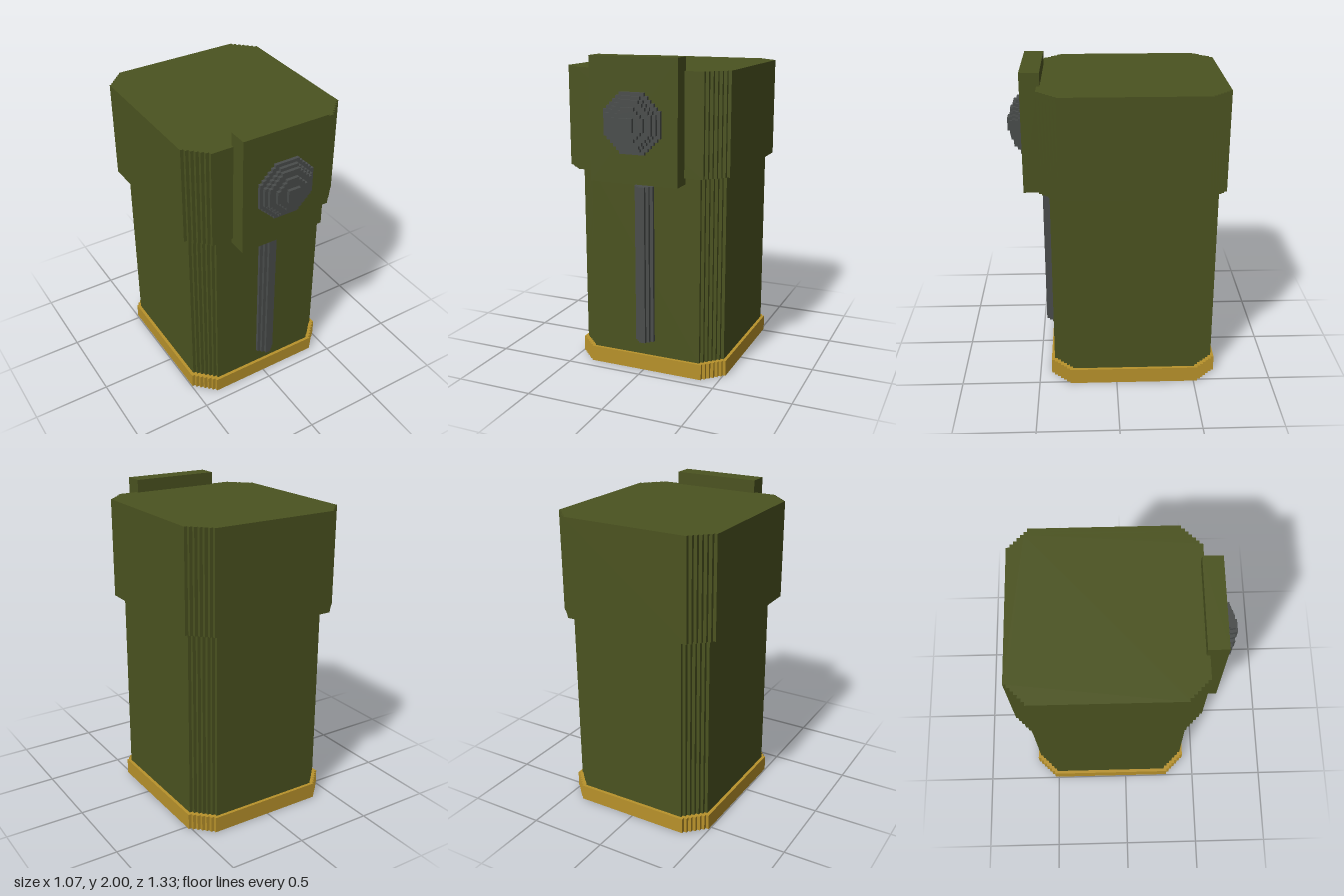
import * as THREE from 'three';

const V = 2 / 99; // size of one block; all numbers below are in blocks

function material(name, color) {
  const m = new THREE.MeshStandardMaterial({ color });
  m.name = name;
  return m;
}

// Rectangle outline whose four corners are cut by a staircase of n single-block steps
function steppedShape(x0, x1, y0, y1, n) {
  const cx = (x0 + x1) / 2, cy = (y0 + y1) / 2;
  const hx = (x1 - x0) / 2, hy = (y1 - y0) / 2;
  const corner = [];
  for (let i = 0; i < n; i++) corner.push([hx - i, hy - n + i], [hx - i - 1, hy - n + i]);
  corner.push([hx - n, hy]);
  const mirrored = [...corner].reverse();
  const points = [
    ...corner,
    ...mirrored.map(([x, y]) => [-x, y]),
    ...corner.map(([x, y]) => [-x, -y]),
    ...mirrored.map(([x, y]) => [x, -y]),
  ];
  return new THREE.Shape(points.map(([x, y]) => new THREE.Vector2((cx + x) * V, (cy + y) * V)));
}

function extrude(shape, depth) {
  return new THREE.ExtrudeGeometry(shape, { depth: depth * V, bevelEnabled: false });
}

export function createModel() {
  const group = new THREE.Group();
  const olive = material('olive green', 0x4b5320);
  const gold = material('gold', 0xb8922b);
  const grey = material('dark grey', 0x4a4d4c);

  function add(name, geometry, mat, parent = group) {
    const mesh = new THREE.Mesh(geometry, mat);
    mesh.name = name;
    parent.add(mesh);
    return mesh;
  }

  // Upright block with stepped vertical corners
  function column(name, x0, x1, z0, z1, y0, y1, steps, mat) {
    const g = extrude(steppedShape(x0, x1, -z1, -z0, steps), y1 - y0);
    g.rotateX(-Math.PI / 2).translate(0, y0 * V, 0);
    return add(name, g, mat);
  }

  function box(name, x0, x1, y0, y1, z0, z1, mat, parent) {
    const g = new THREE.BoxGeometry((x1 - x0) * V, (y1 - y0) * V, (z1 - z0) * V);
    g.translate((x0 + x1) / 2 * V, (y0 + y1) / 2 * V, (z0 + z1) / 2 * V);
    return add(name, g, mat, parent);
  }

  // Main stack
  column('base', -24.5, 25.5, -32, 21, 0, 5, 6, gold);
  column('body', -23.5, 24.5, -31, 20, 5, 64, 6, olive);
  column('lid', -26.5, 26.5, -33, 23, 64, 95, 6, olive);

  // Clasp plate on the front of the lid
  box('claspPlate', -13.5, 14.5, 62, 99, 22, 28, olive);

  // Domed stud: octagonal layers as [half width, corner steps]
  const stud = new THREE.Group();
  stud.name = 'stud';
  group.add(stud);
  [[9, 5], [8, 5], [7, 4], [5, 3], [2, 0]].forEach(([r, steps], i) => {
    const g = extrude(steppedShape(0.5 - r, 0.5 + r, 80 - r, 80 + r, steps), 1);
    g.translate(0, 0, (28 + i) * V);
    add('studLayer', g, grey, stud);
  });

  // Rounded rib down the front of the body
  const rib = new THREE.Group();
  rib.name = 'frontRib';
  group.add(rib);
  [3, 2, 1].forEach((r, i) => {
    box('ribLayer', 0.5 - r, 0.5 + r, 10, 60, 20 + i, 21 + i, grey, rib);
  });

  return group;
}
